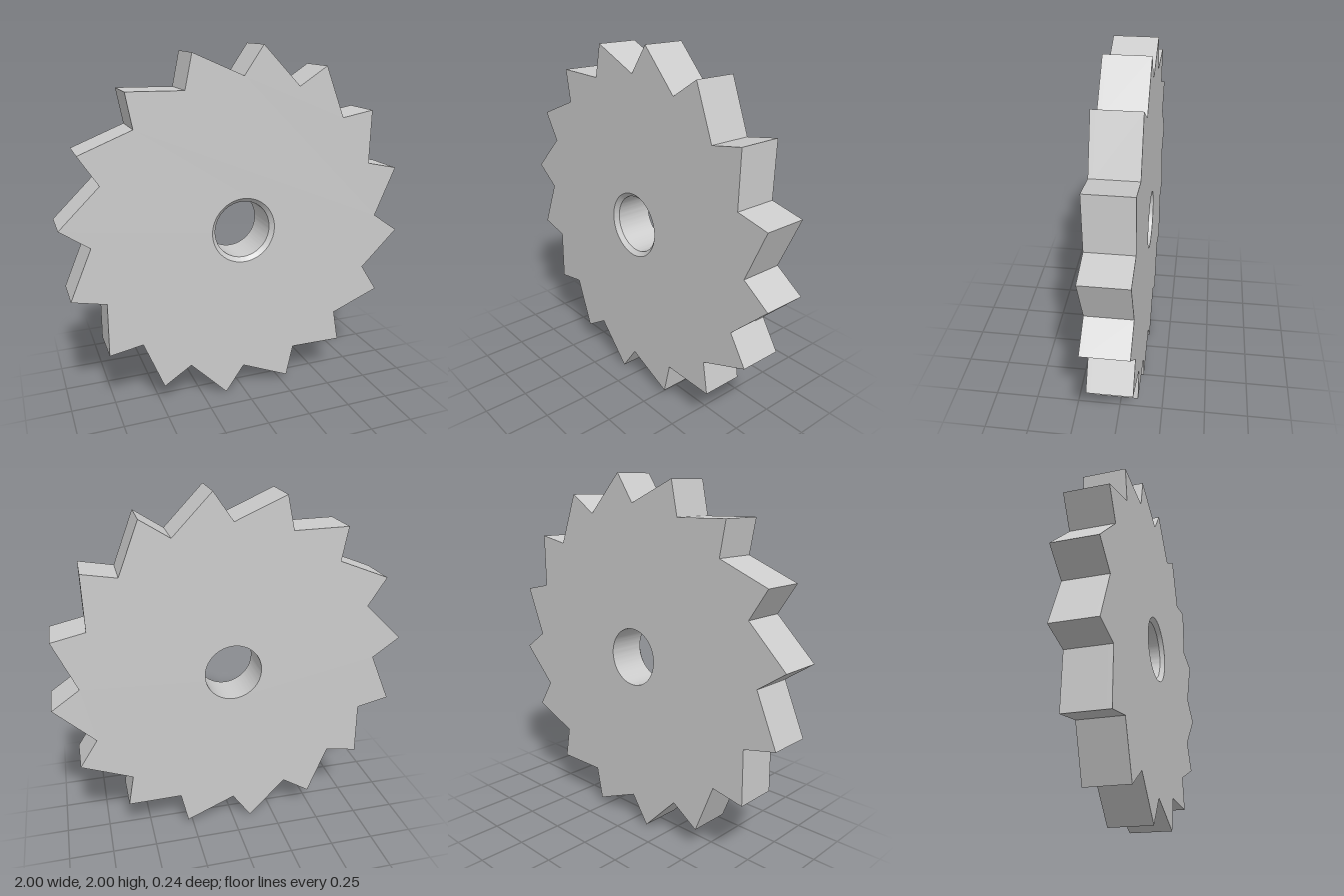
import * as THREE from 'three';
import { toCreasedNormals } from 'three/addons/utils/BufferGeometryUtils.js';

const TEETH = 16, TIP_R = 1.005, ROOT_R = 0.843;
const LEAN = THREE.MathUtils.degToRad(6.2); // tip angle past its root, clockwise
const HALF = 0.12;                          // half thickness
const BORE_R = 0.162, CHAMFER = 0.023;

export function createModel() {
  // Saw-tooth outline, clockwise from the top
  const at = (r, a) => new THREE.Vector2(r * Math.sin(a), r * Math.cos(a));
  const outline = [];
  for (let i = 0; i < TEETH; i++) {
    const a = (i / TEETH) * Math.PI * 2;
    outline.push(at(ROOT_R, a), at(TIP_R, a + LEAN));
  }
  const shape = new THREE.Shape(outline);
  shape.holes.push(new THREE.Path().absarc(0, 0, BORE_R, 0, Math.PI * 2, false));

  let geometry = new THREE.ExtrudeGeometry(shape, {
    depth: HALF * 2, steps: 2, curveSegments: 64, bevelEnabled: false,
  });
  geometry.translate(0, 0, -HALF);

  // Chamfer the front rim of the bore: raise the middle ring, widen the front one
  const p = geometry.attributes.position;
  for (let i = 0; i < p.count; i++) {
    const x = p.getX(i), y = p.getY(i), z = p.getZ(i);
    if (Math.abs(z) < 0.01) p.setZ(i, HALF - CHAMFER);
    else if (z > 0 && Math.hypot(x, y) < BORE_R + 0.01) {
      const s = (BORE_R + CHAMFER) / BORE_R;
      p.setXY(i, x * s, y * s);
    }
  }
  geometry = toCreasedNormals(geometry, Math.PI / 9);

  const wheel = new THREE.Mesh(geometry, new THREE.MeshStandardMaterial({ color: 0xcccccc }));
  wheel.name = 'ratchetWheel';
  wheel.position.y = 1;

  const group = new THREE.Group();
  group.name = 'toothedWheel';
  group.add(wheel);
  return group;
}
